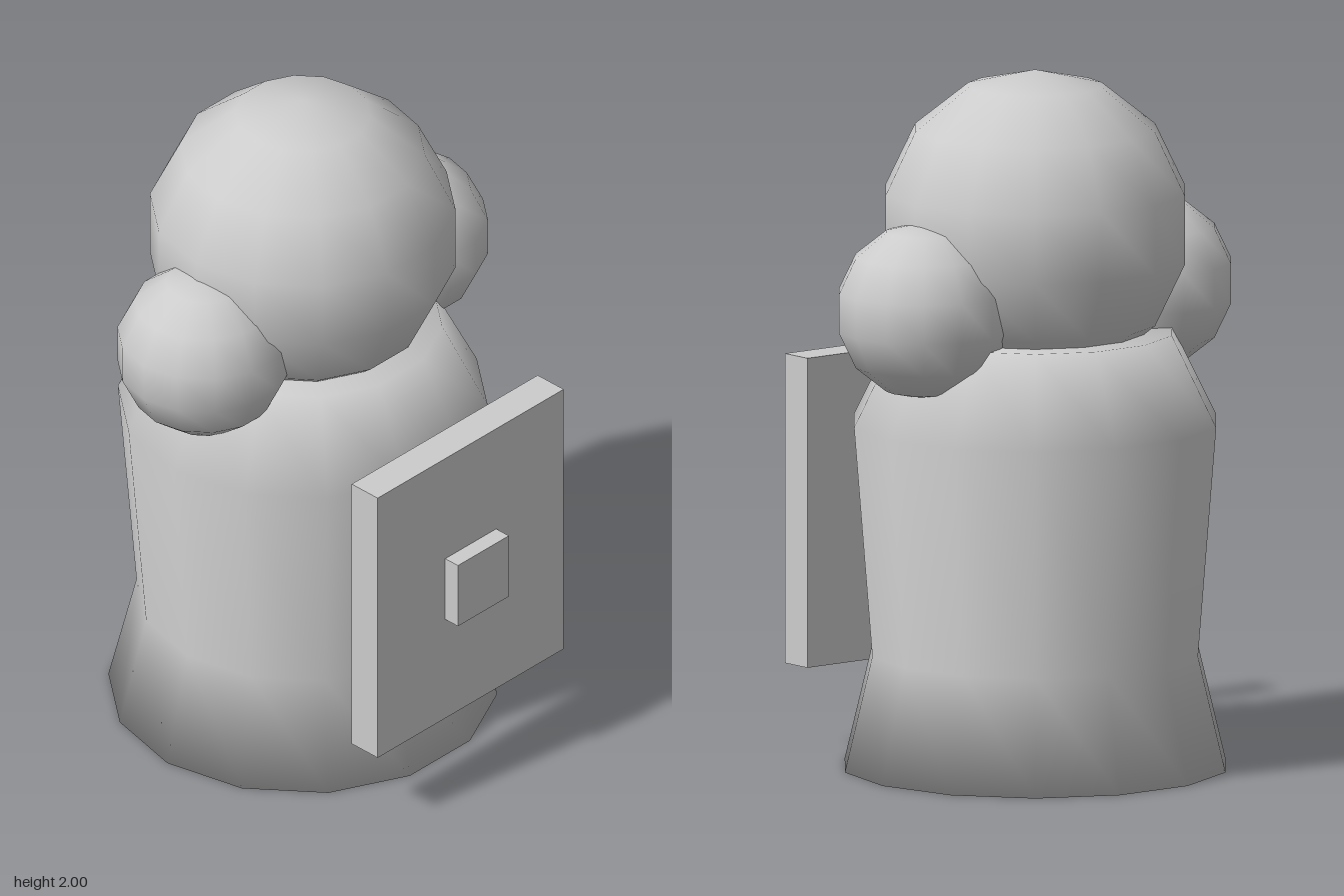
import * as THREE from 'three';

const SIDES = 14;
const AXIS_Z = -0.085; // the body's upright axis sits behind the panel

export function createModel() {
  const model = new THREE.Group();
  const grey = new THREE.MeshStandardMaterial({ color: 0xcccccc });
  grey.name = 'light grey';

  const add = (name, geometry, x, y, z) => {
    const mesh = new THREE.Mesh(geometry, grey);
    mesh.name = name;
    mesh.position.set(x, y, z);
    model.add(mesh);
    return mesh;
  };

  // Torso: flared hem, narrow waist, sloping shoulders, closed at both ends
  const profile = [[0, 0], [0.553, 0], [0.473, 0.33], [0.526, 0.99], [0.397, 1.25], [0, 1.25]]
    .map(([r, y]) => new THREE.Vector2(r, y));
  add('torso', new THREE.LatheGeometry(profile, SIDES, Math.PI / 2), 0, 0, AXIS_Z);

  // Head and the two shoulder balls
  add('head', new THREE.SphereGeometry(0.446, SIDES, 7), 0, 1.554, AXIS_Z);
  for (const side of [-1, 1]) {
    add(side > 0 ? 'leftShoulderBall' : 'rightShoulderBall',
      new THREE.SphereGeometry(0.253, SIDES, 7), side * 0.403, 1.35, AXIS_Z);
  }

  // Panel held in front, with a square boss
  add('frontPanel', new THREE.BoxGeometry(0.76, 0.89, 0.102), 0, 0.69, 0.524);
  add('panelBoss', new THREE.BoxGeometry(0.208, 0.208, 0.05), 0, 0.688, 0.6);

  return model;
}
